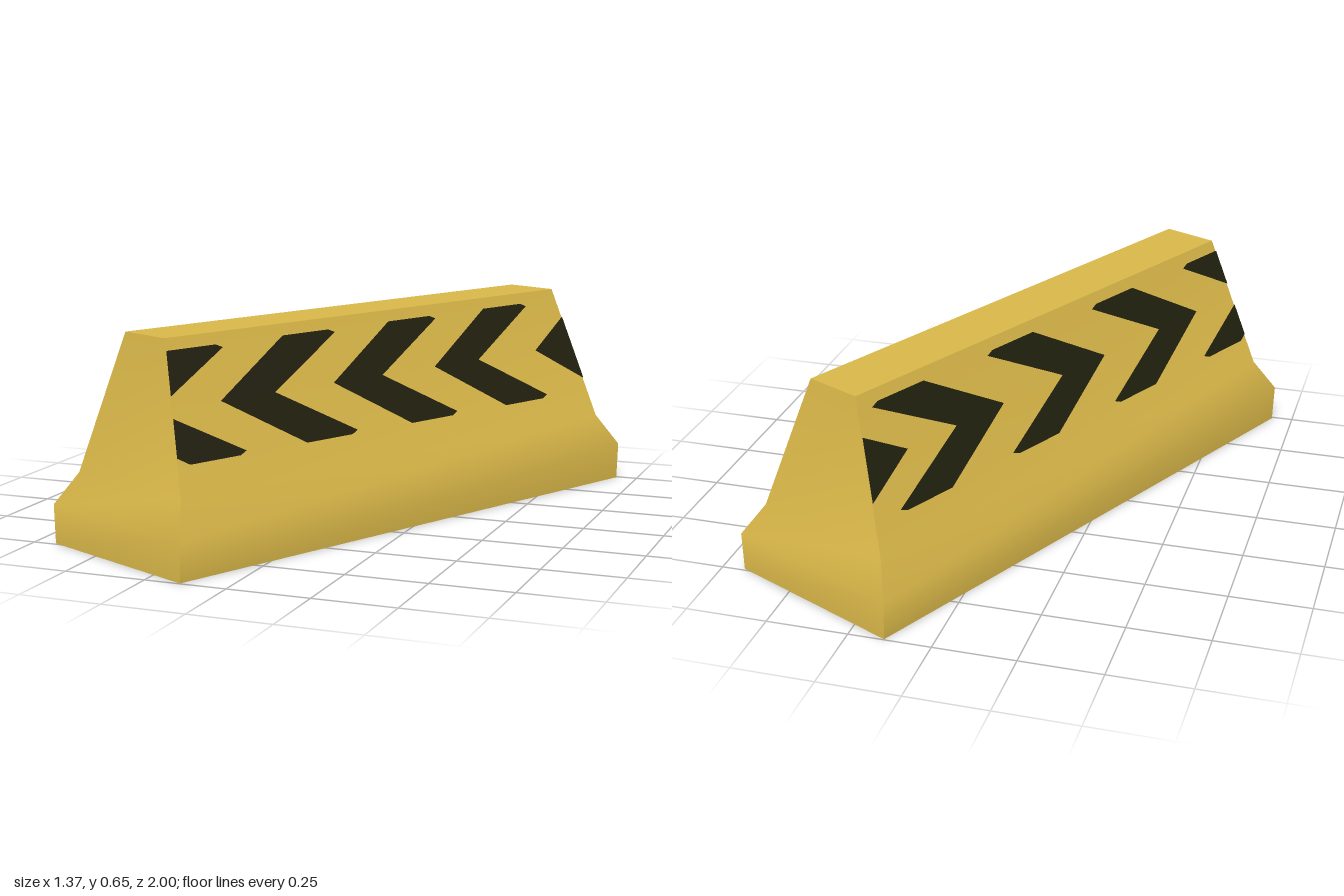
import * as THREE from 'three';
import { toCreasedNormals } from 'three/addons/utils/BufferGeometryUtils.js';

// Rings of the barrier from the ground up: height, half width, half length
const RINGS = [
  [0, 0.298, 0.962],
  [0.12, 0.302, 0.963],
  [0.22, 0.242, 0.91],
  [0.65, 0.0915, 0.84],
];

// Half width and half length of the upper slope at height y
const slope = (y, k) => {
  const [a, b] = [RINGS[2], RINGS[3]];
  return a[k] + (b[k] - a[k]) * (y - a[0]) / (b[0] - a[0]);
};

function fromPoints(points) {
  const g = new THREE.BufferGeometry();
  g.setAttribute('position', new THREE.Float32BufferAttribute(points.flat(), 3));
  g.computeVertexNormals();
  return g;
}

// Stacked rings closed by a top and a base, with smooth flanks and sharp corners
function bodyGeometry() {
  const corners = RINGS.map(([y, w, l]) => [[w, y, l], [w, y, -l], [-w, y, -l], [-w, y, l]]);
  const points = [];
  const quad = (a, b, c, d) => points.push(a, b, c, a, c, d);
  for (let i = 0; i < corners.length - 1; i++) {
    const lo = corners[i], hi = corners[i + 1];
    for (let k = 0; k < 4; k++) {
      const n = (k + 1) % 4;
      quad(lo[k], lo[n], hi[n], hi[k]);
    }
  }
  quad(...corners[corners.length - 1]);
  quad(...[...corners[0]].reverse());
  return toCreasedNormals(fromPoints(points), 0.75);
}

// Cut a convex [s, y] polygon at one sloping end of the barrier
function clipEnd(poly, end) {
  const depth = ([s, y]) => slope(y, 2) - end * s;
  const out = [];
  poly.forEach((p, i) => {
    const q = poly[(i + 1) % poly.length];
    const dp = depth(p), dq = depth(q);
    if (dp >= 0) out.push(p);
    if (dp * dq < 0) {
      const t = dp / (dp - dq);
      out.push([p[0] + (q[0] - p[0]) * t, p[1] + (q[1] - p[1]) * t]);
    }
  });
  return out;
}

// One chevron made of two mirrored arms lying just above the flank
function chevronGeometry(side, tip) {
  const points = [];
  for (const half of [1, -1]) {
    const arm = [[0, 0], [-0.285, 0.155], [-0.47, 0.155], [-0.495, 0.145], [-0.207, 0]];
    let poly = arm.map(([s, h]) => [tip + s, 0.46 + half * h]);
    poly = clipEnd(clipEnd(poly, 1), -1);
    if (side * half > 0) poly.reverse();
    const v = poly.map(([s, y]) => [side * (slope(y, 1) + 0.003), y + 0.001, s]);
    for (let i = 1; i < v.length - 1; i++) points.push(v[0], v[i], v[i + 1]);
  }
  return fromPoints(points);
}

export function createModel() {
  const yellow = new THREE.MeshStandardMaterial({ color: 0xd8b648 });
  yellow.name = 'barrier yellow';
  const black = new THREE.MeshStandardMaterial({ color: 0x21200f });
  black.name = 'chevron black';

  const model = new THREE.Group();
  model.name = 'roadBarrier';

  const body = new THREE.Mesh(bodyGeometry(), yellow);
  body.name = 'barrierBody';
  model.add(body);

  // Painted chevrons pointing to the same end on both flanks
  const rows = [
    { side: 1, name: 'leftChevrons', tips: [1.137, 0.694, 0.251, -0.19, -0.68] },
    { side: -1, name: 'rightChevrons', tips: [1.15, 0.67, 0.18, -0.3, -0.71] },
  ];
  for (const { side, name, tips } of rows) {
    const row = new THREE.Group();
    row.name = name;
    for (const tip of tips) {
      const chevron = new THREE.Mesh(chevronGeometry(side, tip), black);
      chevron.name = 'chevron';
      row.add(chevron);
    }
    model.add(row);
  }

  // The barrier stands at an angle
  model.rotation.y = -0.4416;
  const root = new THREE.Group();
  root.name = 'barrier';
  root.add(model);
  return root;
}
